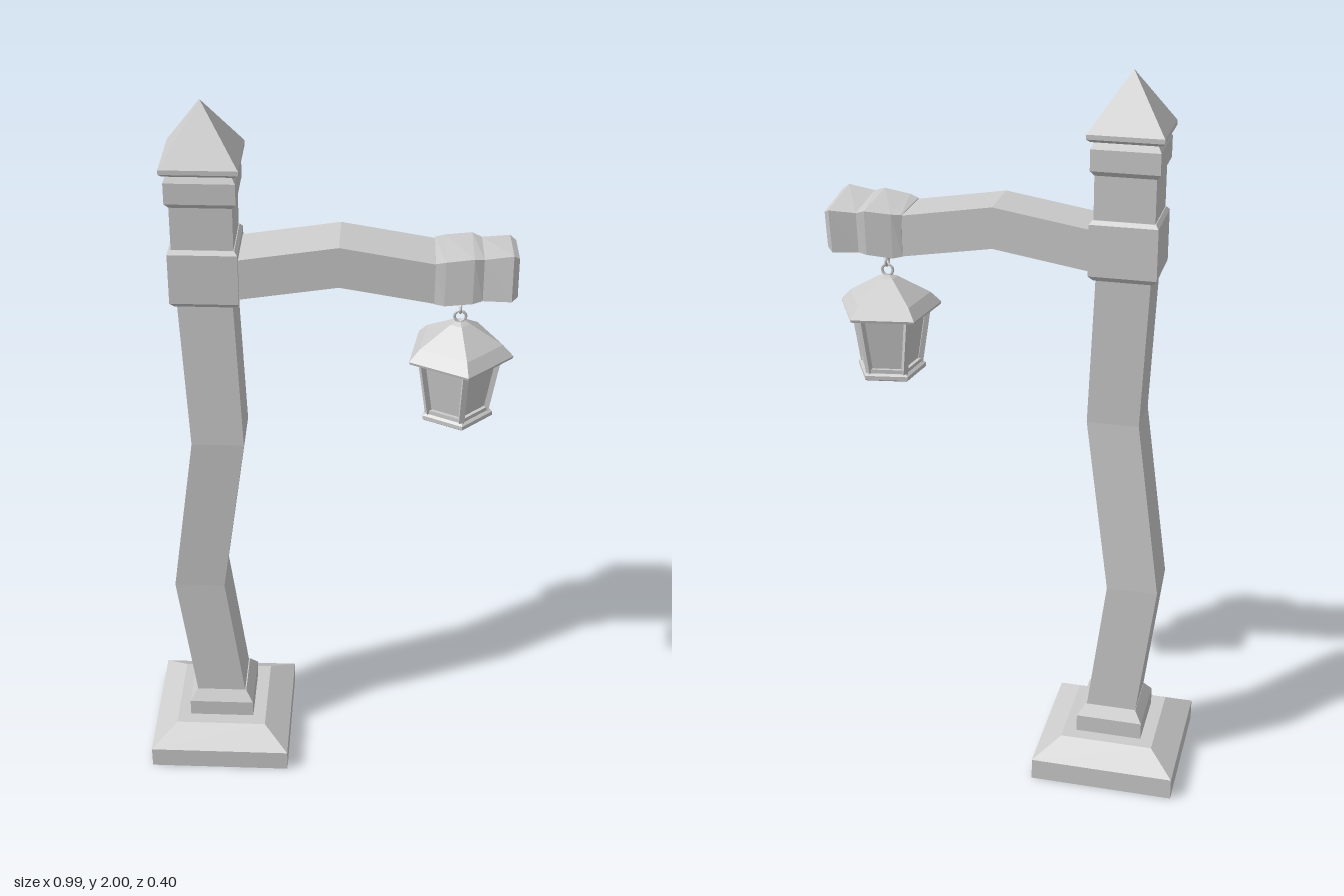
import * as THREE from 'three';

const material = new THREE.MeshStandardMaterial({ color: 0xcccccc, flatShading: true });

// Skin a stack of equal-sized rings (counter-clockwise seen from the far end), capped at both ends
function loft(name, rings) {
  const pos = [];
  const tri = (...pts) => pts.forEach((p) => pos.push(p.x, p.y, p.z));
  const n = rings[0].length;
  for (let r = 0; r < rings.length - 1; r++) {
    const a = rings[r], b = rings[r + 1];
    for (let i = 0; i < n; i++) {
      const j = (i + 1) % n;
      tri(a[i], a[j], b[j]);
      tri(a[i], b[j], b[i]);
    }
  }
  const first = rings[0], last = rings[rings.length - 1];
  for (let i = 1; i < n - 1; i++) {
    tri(first[0], first[i + 1], first[i]);
    tri(last[0], last[i], last[i + 1]);
  }
  const geometry = new THREE.BufferGeometry();
  geometry.setAttribute('position', new THREE.Float32BufferAttribute(pos, 3));
  geometry.computeVertexNormals();
  const mesh = new THREE.Mesh(geometry, material);
  mesh.name = name;
  return mesh;
}

// Horizontal square ring: height, half width, centre x, centre z
const square = ([y, h, x = -0.3, z = 0]) =>
  [[1, 1], [1, -1], [-1, -1], [-1, 1]].map(([u, v]) => new THREE.Vector3(x + u * h, y, z + v * h));

// Upright rectangular ring: x, centre y, half height, half depth, roll
const upright = ([x, y, hy, hz, roll = 0]) =>
  [[1, 1], [-1, 1], [-1, -1], [1, -1]].map(([u, v]) => new THREE.Vector3(
    x,
    y + u * hy * Math.cos(roll) + v * hz * Math.sin(roll),
    v * hz * Math.cos(roll) - u * hy * Math.sin(roll)));

// Corner k of the five-sided lantern
const corner = (k, y, r) => {
  const t = THREE.MathUtils.degToRad(-9 + 72 * k);
  return new THREE.Vector3(r * Math.cos(t), y, -r * Math.sin(t));
};
const pentagon = ([y, r]) => [0, 1, 2, 3, 4].map((k) => corner(k, y, r));

// Square bar between two points
function bar(name, a, b, w) {
  const mesh = new THREE.Mesh(new THREE.BoxGeometry(w, w, a.distanceTo(b)), material);
  mesh.position.copy(a).add(b).multiplyScalar(0.5);
  mesh.lookAt(b);
  mesh.name = name;
  return mesh;
}

function ring(name, radius, tube, y, turn) {
  const mesh = new THREE.Mesh(new THREE.TorusGeometry(radius, tube, 6, 12), material);
  mesh.position.y = y;
  mesh.rotation.y = turn;
  mesh.name = name;
  return mesh;
}

function createLantern() {
  const lantern = new THREE.Group();
  lantern.name = 'lantern';
  lantern.position.set(0.35, 0, 0.007);

  lantern.add(loft('lanternRoof', [
    [1.335, 0.1], [1.32, 0.142], [1.327, 0.144], [1.357, 0.115], [1.41, 0.027], [1.416, 0.012],
  ].map(pentagon)));
  lantern.add(loft('lanternPanes', [[1.15, 0.074], [1.335, 0.102]].map(pentagon)));
  lantern.add(loft('lanternFloor', [[1.138, 0.092], [1.142, 0.098], [1.153, 0.098], [1.158, 0.09]].map(pentagon)));

  // Frame around each pane
  for (let k = 0; k < 5; k++) {
    lantern.add(bar('cornerBar', corner(k, 1.15, 0.08), corner(k, 1.332, 0.109), 0.014));
    lantern.add(bar('lowerRail', corner(k, 1.163, 0.081), corner(k + 1, 1.163, 0.081), 0.012));
    lantern.add(bar('upperRail', corner(k, 1.322, 0.106), corner(k + 1, 1.322, 0.106), 0.014));
  }

  // Interlocked hanging rings and the pin into the arm
  lantern.add(ring('lanternRing', 0.015, 0.004, 1.43, 0));
  lantern.add(ring('hookRing', 0.013, 0.004, 1.455, Math.PI / 2));
  const pin = new THREE.Mesh(new THREE.CylinderGeometry(0.004, 0.004, 0.05, 6), material);
  pin.position.y = 1.492;
  pin.name = 'hookPin';
  lantern.add(pin);
  return lantern;
}

export function createModel() {
  const model = new THREE.Group();
  model.name = 'lampPost';

  // Stepped foot
  model.add(loft('base', [[0, 0.2], [0.062, 0.2], [0.11, 0.13]].map(square)));
  model.add(loft('plinth', [[0.11, 0.093], [0.16, 0.093], [0.19, 0.072]].map(square)));

  // Crooked post
  model.add(loft('post', [
    [0.18, 0.07], [0.58, 0.07, -0.35], [1.07, 0.07, -0.28, 0.02], [1.5, 0.071, -0.3, 0.005],
  ].map(square)));

  // Collar holding the arm, then the neck, band and pointed cap
  model.add(loft('collar', [[1.478, 0.076], [1.492, 0.088], [1.628, 0.088], [1.638, 0.08]].map(square)));
  model.add(loft('neck', [
    [1.63, 0.078], [1.752, 0.078], [1.765, 0.088], [1.82, 0.088], [1.842, 0.076],
  ].map(square)));
  model.add(loft('cap', [[1.838, 0.088], [1.846, 0.097], [1.858, 0.097], [2, 0.001]].map(square)));

  // Bent arm and its twisted end block
  model.add(loft('arm', [
    [-0.28, 1.545, 0.055, 0.075], [0.04, 1.595, 0.055, 0.075], [0.31, 1.55, 0.055, 0.075],
  ].map(upright)));
  model.add(loft('armEnd', [
    [0.28, 1.556, 0.056, 0.077], [0.305, 1.557, 0.06, 0.085, 0.03], [0.375, 1.565, 0.06, 0.089, 0.06],
    [0.4, 1.563, 0.055, 0.08, 0.09], [0.472, 1.566, 0.06, 0.085, 0.13], [0.487, 1.566, 0.05, 0.073, 0.13],
  ].map(upright)));

  model.add(createLantern());
  return model;
}
